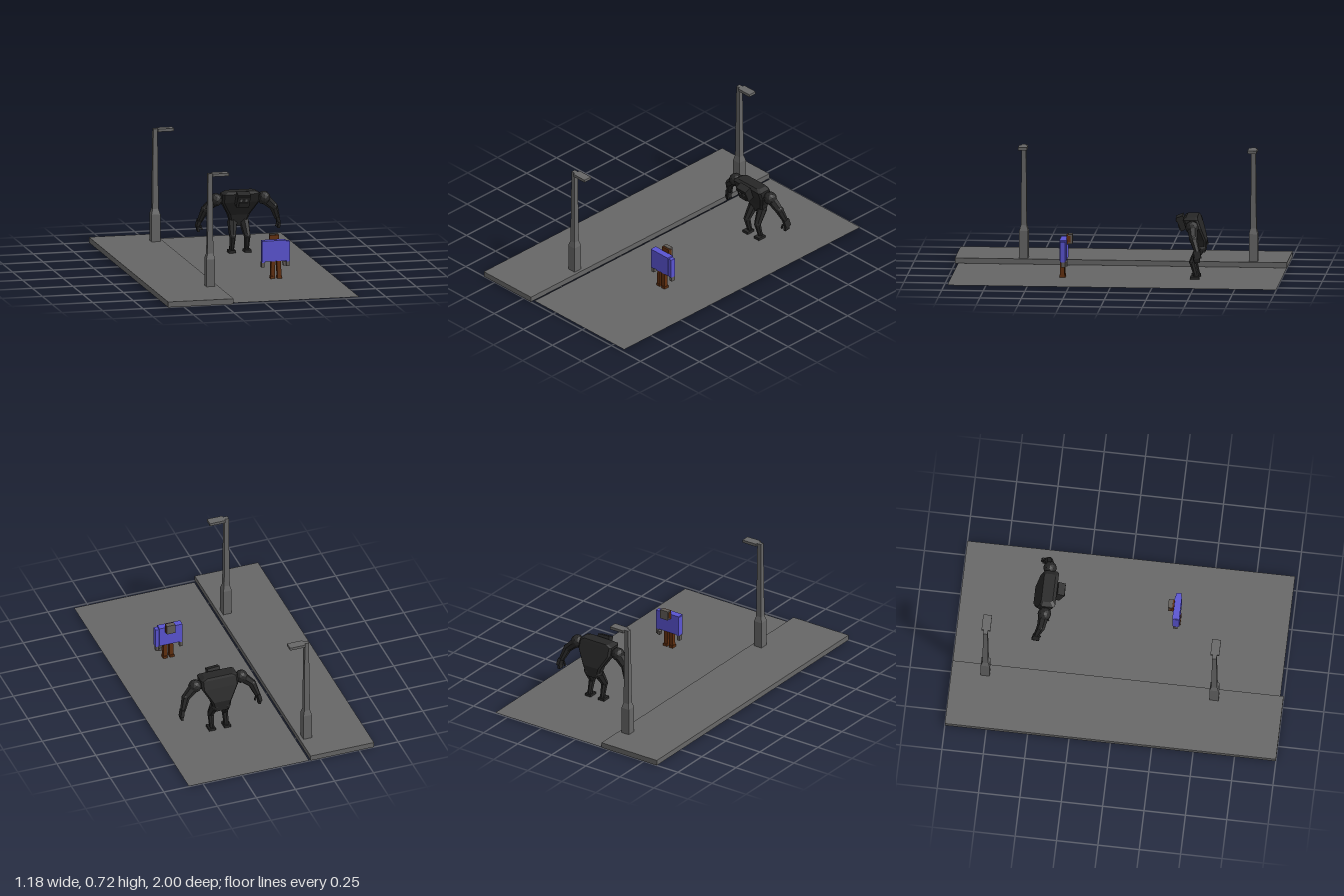
import * as THREE from 'three';

const mat = (name, color, extra = {}) => {
  const m = new THREE.MeshStandardMaterial({ color, flatShading: true, ...extra });
  m.name = name;
  return m;
};

export function createModel() {
  const stone = mat('stoneGrey', 0x666666, { side: THREE.DoubleSide });
  const fur = mat('blackFur', 0x262626);
  const eye = mat('eyeGrey', 0x666666);
  const shirt = mat('blueShirt', 0x5a54d2);
  const brown = mat('brown', 0x63300f);
  const skin = mat('greySkin', 0x625d58);

  const model = new THREE.Group();
  model.name = 'streetScene';

  const add = (parent, name, geo, material, pos = [0, 0, 0], rot = [0, 0, 0]) => {
    const mesh = new THREE.Mesh(geo, material);
    mesh.name = name;
    mesh.position.set(...pos);
    mesh.rotation.set(...rot);
    parent.add(mesh);
    return mesh;
  };
  const group = (name, x, y, z) => {
    const g = new THREE.Group();
    g.name = name;
    g.position.set(x, y, z);
    model.add(g);
    return g;
  };
  const box = (w, h, d) => new THREE.BoxGeometry(w, h, d);

  // Tapered round limb between two points
  const limb = (parent, name, a, b, ra, rb, material, sides = 7) => {
    const p = new THREE.Vector3(...a), q = new THREE.Vector3(...b);
    const dir = q.clone().sub(p);
    const mesh = add(parent, name, new THREE.CylinderGeometry(rb, ra, dir.length(), sides), material);
    mesh.position.copy(p).add(q).multiplyScalar(0.5);
    mesh.quaternion.setFromUnitVectors(new THREE.Vector3(0, 1, 0), dir.normalize());
    return mesh;
  };

  // Solid through chamfered rectangles, each [y, z, halfWidth, halfDepth, chamfer], rising in y
  const loft = (sections) => {
    const pos = [], idx = [];
    for (const [y, z, w, d, c] of sections) {
      const ring = [[w, d - c], [w - c, d], [c - w, d], [-w, d - c],
        [-w, c - d], [c - w, -d], [w - c, -d], [w, c - d]];
      for (const [x, f] of ring) pos.push(x, y, z - f);
    }
    for (let i = 0; i < sections.length - 1; i++) {
      for (let j = 0; j < 8; j++) {
        const a = i * 8 + j, b = i * 8 + (j + 1) % 8;
        idx.push(a, b, b + 8, a, b + 8, a + 8);
      }
    }
    const top = (sections.length - 1) * 8;
    for (let j = 1; j < 7; j++) {
      idx.push(0, j + 1, j, top, top + j, top + j + 1);
    }
    const geo = new THREE.BufferGeometry();
    geo.setAttribute('position', new THREE.Float32BufferAttribute(pos, 3));
    geo.setIndex(idx);
    geo.computeVertexNormals();
    return geo;
  };

  // Ground
  add(model, 'pavement', box(0.405, 0.033, 2), stone, [-0.3925, 0.0165, 0]);
  add(model, 'road', new THREE.PlaneGeometry(0.77, 1.98), stone, [0.205, 0.003, -0.01], [-Math.PI / 2, 0, 0]);

  // Street lamps
  const poleGeo = loft([
    [0.03, 0, 0.027, 0.027, 0], [0.2, 0, 0.027, 0.027, 0],
    [0.233, 0, 0.018, 0.018, 0], [0.722, 0, 0.013, 0.013, 0],
  ]);
  for (const z of [0.588, -0.795]) {
    const lamp = group('streetLamp', -0.237, 0, z);
    add(lamp, 'pole', poleGeo, stone);
    add(lamp, 'lampArm', box(0.03, 0.017, 0.026), stone, [0.012, 0.7135, 0]);
    add(lamp, 'lampHead', box(0.098, 0.017, 0.053), stone, [0.063, 0.7135, 0]);
  }

  // Ape facing +z
  const ape = group('ape', 0.208, 0, 0);
  add(ape, 'torso', loft([
    [0.165, -0.522, 0.045, 0.022, 0.01], [0.235, -0.515, 0.066, 0.036, 0.012],
    [0.32, -0.478, 0.116, 0.046, 0.012], [0.372, -0.46, 0.116, 0.046, 0.012],
    [0.386, -0.466, 0.09, 0.034, 0.012],
  ]), fur);

  const head = group('apeHead', 0.21, 0.342, -0.403);
  head.rotation.set(0.38, 0, -0.06);
  add(head, 'skull', box(0.08, 0.086, 0.045), fur);
  add(head, 'brow', box(0.074, 0.012, 0.008), fur, [0, 0.026, 0.024]);
  add(head, 'muzzle', box(0.054, 0.034, 0.01), fur, [0, -0.022, 0.024]);
  for (const s of [-1, 1]) {
    add(head, 'eye', box(0.013, 0.016, 0.004), eye, [s * 0.016, 0.009, 0.0235], [0, 0, s * 0.3]);
  }

  for (const s of [-1, 1]) {
    // Arms hang wide, bent at the elbow
    const shoulder = [s * 0.148, 0.334, -0.474], elbow = [s * 0.212, 0.275, -0.487];
    const wrist = [s * 0.24, 0.2, -0.512];
    add(ape, 'shoulder', new THREE.IcosahedronGeometry(0.041, 1), fur, shoulder);
    limb(ape, 'upperArm', [s * 0.14, 0.342, -0.474], elbow, 0.035, 0.025, fur);
    add(ape, 'elbow', new THREE.IcosahedronGeometry(0.026, 1), fur, elbow);
    limb(ape, 'forearm', elbow, wrist, 0.026, 0.017, fur);
    add(ape, 'hand', box(0.02, 0.046, 0.04), fur, [s * 0.247, 0.185, -0.515], [0.2, 0, s * 0.2]);
    add(ape, 'fingers', box(0.014, 0.032, 0.036), fur, [s * 0.25, 0.155, -0.512], [0.1, 0, -s * 0.2]);
    add(ape, 'thumb', box(0.01, 0.03, 0.011), fur, [s * 0.234, 0.165, -0.492], [0, 0, -s * 0.3]);

    // Crouching legs
    const knee = [s * 0.045, 0.107, -0.468], ankle = [s * 0.046, 0.018, -0.492];
    add(ape, 'buttock', new THREE.IcosahedronGeometry(0.029, 1), fur, [s * 0.034, 0.19, -0.521]);
    limb(ape, 'thigh', [s * 0.036, 0.19, -0.515], knee, 0.031, 0.021, fur);
    add(ape, 'knee', new THREE.IcosahedronGeometry(0.021, 1), fur, knee);
    limb(ape, 'shin', knee, ankle, 0.02, 0.015, fur);
    add(ape, 'foot', box(0.042, 0.016, 0.055), fur, [s * 0.049, 0.013, -0.483]);
  }

  // Person facing the ape, towards -z
  const person = group('person', 0, 0, 0);
  add(person, 'shirt', box(0.146, 0.126, 0.042), shirt, [0.226, 0.172, 0.309]);
  add(person, 'leftSleeve', box(0.02, 0.126, 0.032), shirt, [0.161, 0.165, 0.309]);
  add(person, 'rightSleeve', box(0.022, 0.124, 0.032), shirt, [0.312, 0.166, 0.309]);
  add(person, 'leftHand', box(0.018, 0.034, 0.026), skin, [0.159, 0.088, 0.306]);
  add(person, 'rightHand', box(0.018, 0.032, 0.026), skin, [0.312, 0.09, 0.306]);
  add(person, 'rightThumb', box(0.018, 0.024, 0.022), skin, [0.295, 0.087, 0.294], [0, 0, 0.2]);
  add(person, 'face', box(0.054, 0.058, 0.026), skin, [0.237, 0.236, 0.268]);
  add(person, 'hair', box(0.056, 0.056, 0.01), brown, [0.237, 0.233, 0.286]);
  for (const s of [-1, 1]) {
    add(person, 'sideHair', box(0.005, 0.04, 0.018), brown, [0.237 + s * 0.027, 0.236, 0.274]);
    add(person, 'leg', box(0.025, 0.115, 0.026), brown, [0.237 + s * 0.019, 0.0575, 0.315], [0, 0, s * 0.03]);
    add(person, 'shoe', box(0.028, 0.018, 0.034), brown, [0.237 + s * 0.021, 0.009, 0.314]);
  }

  return model;
}
